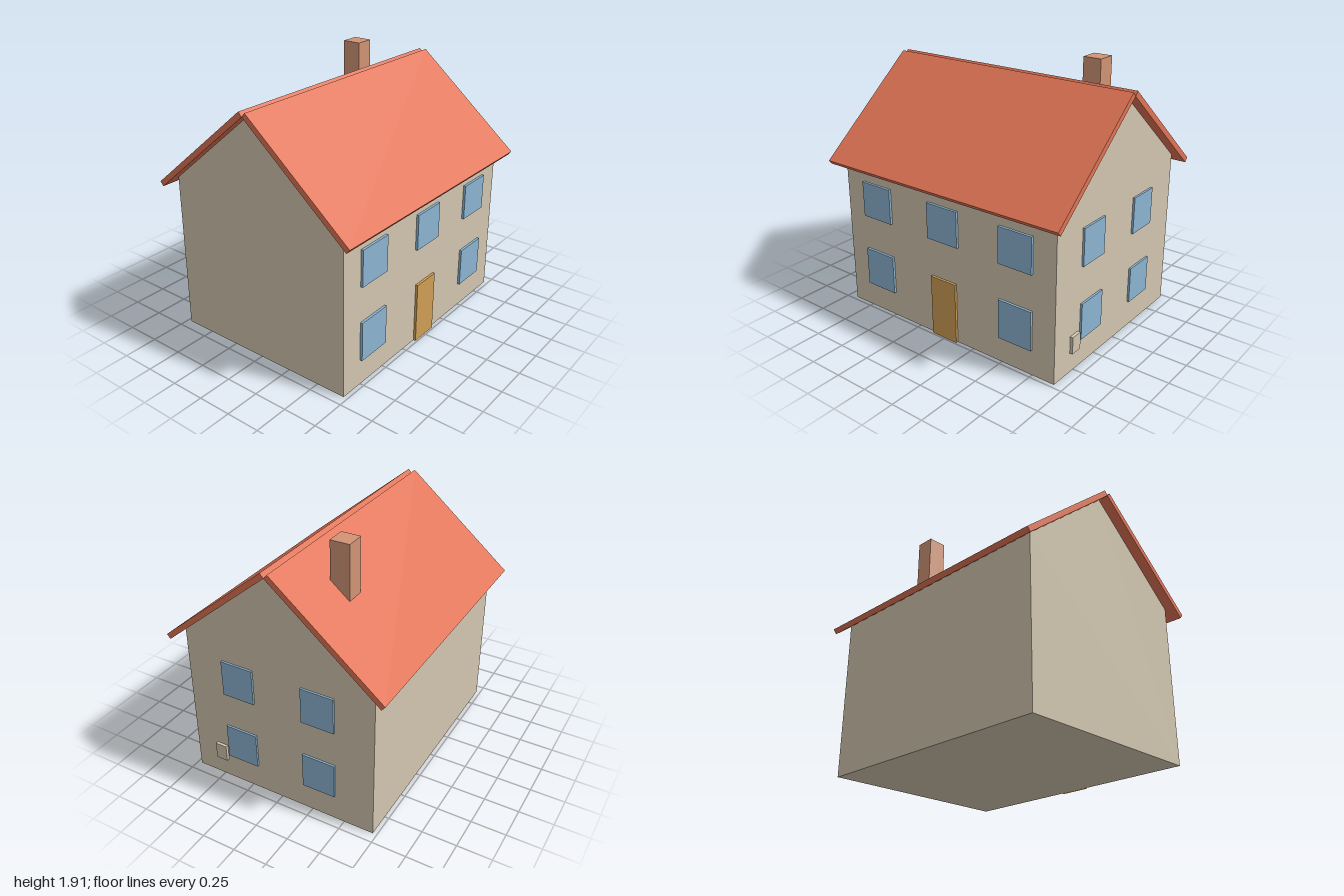
import * as THREE from 'three';

const paint = (name, color) => {
  const m = new THREE.MeshStandardMaterial({ color });
  m.name = name;
  return m;
};

export function createModel() {
  const house = new THREE.Group();
  house.name = 'house';

  const wall = paint('wall beige', 0xd2c6b0);
  const tile = paint('roof red', 0xe07355);
  const glass = paint('window blue', 0x8cb5d2);
  const wood = paint('door ochre', 0xd09f56);
  const brick = paint('chimney clay', 0xd19476);

  // Box given by its lower and upper corners
  const box = (name, mat, [x0, y0, z0], [x1, y1, z1]) => {
    const mesh = new THREE.Mesh(new THREE.BoxGeometry(x1 - x0, y1 - y0, z1 - z0), mat);
    mesh.position.set((x0 + x1) / 2, (y0 + y1) / 2, (z0 + z1) / 2);
    mesh.name = name;
    house.add(mesh);
    return mesh;
  };

  const halfX = 0.925, halfZ = 0.72, apex = 1.768;
  const pitch = 0.695; // roof angle in radians
  const eaves = apex - halfZ * Math.tan(pitch);

  // Walls: gable outline extruded along x
  const gable = new THREE.Shape([
    new THREE.Vector2(-halfZ, 0), new THREE.Vector2(halfZ, 0),
    new THREE.Vector2(halfZ, eaves), new THREE.Vector2(0, apex),
    new THREE.Vector2(-halfZ, eaves),
  ]);
  const wallGeo = new THREE.ExtrudeGeometry(gable, { depth: halfX * 2, bevelEnabled: false });
  wallGeo.translate(0, 0, -halfX).rotateY(Math.PI / 2);
  const walls = new THREE.Mesh(wallGeo, wall);
  walls.name = 'walls';
  house.add(walls);

  // Roof: two slabs whose lower inner edges meet at the apex
  const slope = 1.038, thick = 0.04;
  for (const side of [1, -1]) {
    const geo = new THREE.BoxGeometry(2, thick, slope);
    geo.translate(0, thick / 2, side * slope / 2).rotateX(side * pitch);
    const slab = new THREE.Mesh(geo, tile);
    slab.position.y = apex;
    slab.name = side > 0 ? 'frontRoof' : 'backRoof';
    house.add(slab);
  }

  box('chimney', brick, [0.465, 1.4, -0.36], [0.605, 1.91, -0.22]);

  // Front windows and door
  const frontZ = halfZ + 0.018;
  for (const x of [-0.62, 0, 0.615]) {
    box('frontUpperWindow', glass, [x - 0.133, 0.74, halfZ - 0.01], [x + 0.133, 1.003, frontZ]);
    if (x !== 0) box('frontLowerWindow', glass, [x - 0.133, 0.19, halfZ - 0.01], [x + 0.133, 0.477, frontZ]);
  }
  box('door', wood, [-0.112, 0, halfZ - 0.01], [0.108, 0.456, frontZ]);

  // Windows and meter box on the left gable
  for (const z of [0.313, -0.308]) {
    for (const [y0, y1] of [[0.2, 0.466], [0.737, 1.005]]) {
      box('sideWindow', glass, [halfX - 0.01, y0, z - 0.123], [halfX + 0.015, y1, z + 0.123]);
    }
  }
  box('meterBox', wall, [halfX - 0.01, 0.147, 0.455], [halfX + 0.022, 0.272, 0.545]);

  return house;
}
